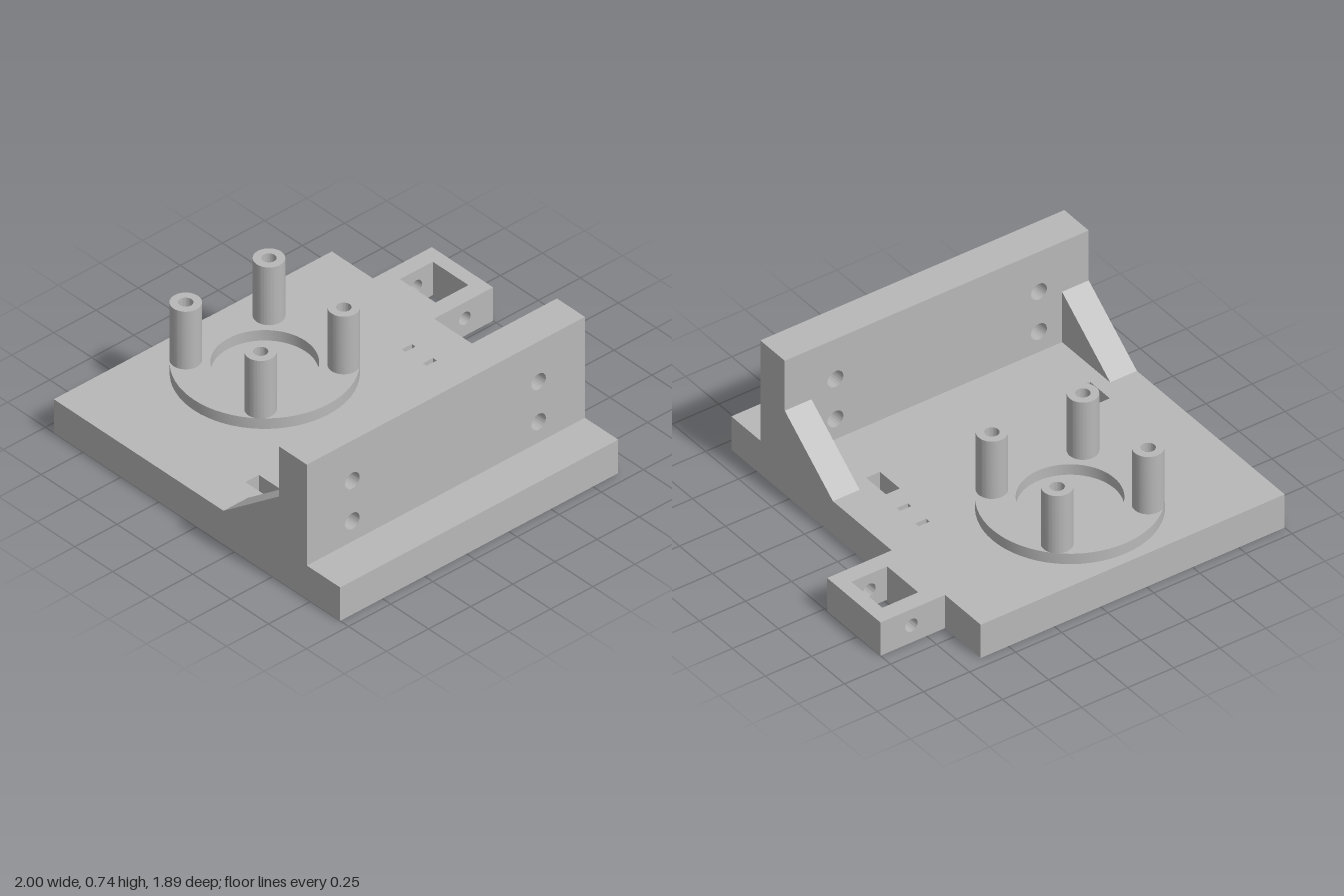
import * as THREE from 'three';
import { toCreasedNormals } from 'three/addons/utils/BufferGeometryUtils.js';

const TOP = 0.183; // upper face of the base plate

// Outline helpers
const trace = (Kind, pts) => new Kind(pts.map(([x, y]) => new THREE.Vector2(x, y)));
const rect = (Kind, x0, x1, y0, y1) => trace(Kind, [[x0, y0], [x1, y0], [x1, y1], [x0, y1]]);
const disc = (Kind, x, y, r) => new Kind().absarc(x, y, r, 0, Math.PI * 2, false);

function extrude(shape, holes, depth) {
  shape.holes.push(...holes);
  const geo = new THREE.ExtrudeGeometry(shape, { depth, bevelEnabled: false, curveSegments: 32 });
  return toCreasedNormals(geo, 0.5);
}
// Plan shapes are drawn as (x, -z) and raised from y0 to y1
const raise = (shape, holes, y0, y1) =>
  extrude(shape, holes, y1 - y0).rotateX(-Math.PI / 2).translate(0, y0, 0);

export function createModel() {
  const group = new THREE.Group();
  group.name = 'mountingBracket';
  const grey = new THREE.MeshStandardMaterial({ color: 0xb8b8b8 });
  grey.name = 'grey';
  const add = (name, geo) => {
    const mesh = new THREE.Mesh(geo, grey);
    mesh.name = name;
    group.add(mesh);
  };

  // Ring centre and the four post positions, in plan coordinates
  const cx = -0.175, cy = 0.47, off = 0.247;
  const posts = [];
  for (const sx of [-1, 1]) for (const sy of [-1, 1]) posts.push([cx + sx * off, cy + sy * off]);
  const postHoles = () => posts.map(([x, y]) => disc(THREE.Path, x, y, 0.034));

  // Base plate: lower layer has the round recess, upper layer closes it
  const plateHoles = () => [
    ...postHoles(),
    rect(THREE.Path, -0.785, -0.705, -0.23, -0.08),
    rect(THREE.Path, 0.355, 0.43, -0.23, -0.08),
    rect(THREE.Path, 0.39, 0.45, 0.17, 0.195),
    rect(THREE.Path, 0.39, 0.45, 0.03, 0.055),
  ];
  const plate = () => rect(THREE.Shape, -1, 0.65, -0.945, 0.945);
  const recessTop = 0.145;
  add('basePlateLower', raise(plate(), [...plateHoles(), disc(THREE.Path, cx, cy, 0.175)], 0, recessTop));
  add('basePlateUpper', raise(plate(), plateHoles(), recessTop, TOP));

  // Raised ring with four hollow posts
  add('ring', raise(disc(THREE.Shape, cx, cy, 0.42),
    [disc(THREE.Path, cx, cy, 0.24), ...postHoles()], TOP, 0.24));
  for (const [x, y] of posts) {
    add('post', raise(disc(THREE.Shape, x, y, 0.072), [disc(THREE.Path, x, y, 0.034)], 0.24, 0.555));
  }

  // Upright wall with four bolt holes
  const boltHoles = [];
  for (const x of [-0.73, 0.375]) for (const y of [0.295, 0.515]) boltHoles.push(disc(THREE.Path, x, y, 0.043));
  add('uprightWall', extrude(rect(THREE.Shape, -1, 0.65, TOP, 0.735), boltHoles, 0.185).translate(0, 0, 0.54));

  // Sloped gussets behind the wall
  for (const xMax of [-0.855, 0.65]) {
    const side = trace(THREE.Shape, [[0.175, TOP], [0.54, TOP], [0.54, 0.46]]);
    add('gusset', extrude(side, [], 0.145).rotateY(-Math.PI / 2).translate(xMax, 0, 0));
  }

  // Side tab: a square frame, cross-drilled through front and back
  for (const [z0, z1] of [[-0.674, -0.59], [-0.355, -0.27]]) {
    add('tabCrossWall', extrude(rect(THREE.Shape, 0.65, 1, 0, TOP),
      [disc(THREE.Path, 0.832, 0.095, 0.034)], z1 - z0).translate(0, 0, z0));
  }
  for (const [x0, x1] of [[0.65, 0.735], [0.93, 1]]) {
    add('tabSideWall', raise(rect(THREE.Shape, x0, x1, 0.355, 0.59), [], 0, TOP));
  }
  return group;
}
